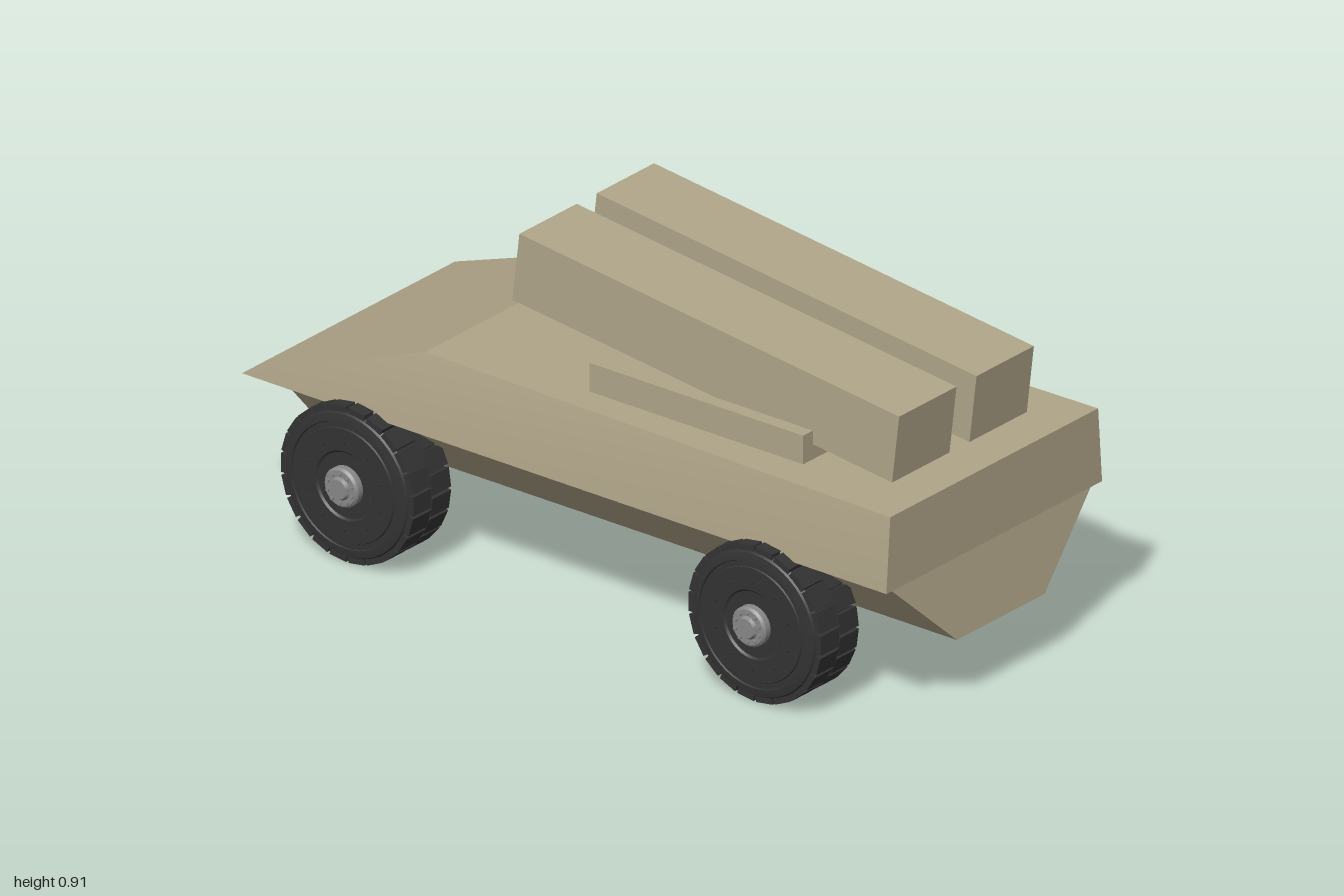
import * as THREE from 'three';
import { toCreasedNormals } from 'three/addons/utils/BufferGeometryUtils.js';

const material = (color) => new THREE.MeshStandardMaterial({ color });
const tan = material(0xb0a589);
const rubber = material(0x333333);
const steel = material(0x888888);

function add(parent, name, geometry, mat, x = 0, y = 0, z = 0) {
  const mesh = new THREE.Mesh(geometry, mat);
  mesh.name = name;
  mesh.position.set(x, y, z);
  parent.add(mesh);
  return mesh;
}

// Six-sided solid; each level gives y and [half width, z] at the front and the rear
function taperedBox(bottom, top) {
  const geometry = new THREE.BoxGeometry(1, 1, 1);
  const p = geometry.attributes.position;
  for (let i = 0; i < p.count; i++) {
    const level = p.getY(i) > 0 ? top : bottom;
    const [halfWidth, z] = p.getZ(i) > 0 ? level.front : level.rear;
    p.setXYZ(i, Math.sign(p.getX(i)) * halfWidth, level.y, z);
  }
  geometry.computeVertexNormals();
  return geometry;
}

// Turned part whose axis lies along x; points are [radius, x]
function turned(points, segments) {
  const profile = points.map(([r, x]) => new THREE.Vector2(r, x));
  const geometry = new THREE.LatheGeometry(profile, segments).rotateZ(-Math.PI / 2);
  return toCreasedNormals(geometry, 0.5);
}

// Wheel with its outer side towards +x
function createWheel() {
  const wheel = new THREE.Group();
  add(wheel, 'tyre', turned([
    [0, -0.068], [0.18, -0.068], [0.194, -0.06], [0.194, 0.062], [0.185, 0.076],
    [0.165, 0.08], [0.163, 0.076], [0.15, 0.076], [0.148, 0.08], [0.09, 0.08],
    [0.085, 0.075], [0, 0.075],
  ], 48), rubber);

  // Two staggered rows of tread blocks
  const count = 22;
  const block = new THREE.BoxGeometry(0.07, 0.016, 0.05);
  for (let i = 0; i < count; i++) {
    for (const row of [-1, 1]) {
      const angle = ((i + (row > 0 ? 0.5 : 0)) / count) * Math.PI * 2;
      const tread = add(wheel, 'treadBlock', block, rubber,
        row * 0.036, Math.cos(angle) * 0.195, Math.sin(angle) * 0.195);
      tread.rotation.x = angle;
    }
  }

  // Hub and its bolts
  add(wheel, 'hub', turned([
    [0, 0.06], [0.052, 0.06], [0.052, 0.092], [0.046, 0.098], [0.03, 0.098],
    [0.025, 0.107], [0, 0.107],
  ], 24), steel);
  const hubBolt = new THREE.CylinderGeometry(0.005, 0.005, 0.012, 6).rotateZ(-Math.PI / 2);
  const rimBolt = new THREE.CylinderGeometry(0.004, 0.004, 0.01, 6).rotateZ(-Math.PI / 2);
  for (let i = 0; i < 10; i++) {
    const a = (i / 10) * Math.PI * 2;
    add(wheel, 'hubBolt', hubBolt, steel, 0.098, Math.cos(a) * 0.038, Math.sin(a) * 0.038);
    add(wheel, 'rimBolt', rimBolt, rubber, 0.082, Math.cos(a) * 0.115, Math.sin(a) * 0.115);
  }
  return wheel;
}

export function createModel() {
  const model = new THREE.Group();
  model.name = 'armouredLauncher';

  // Hull
  add(model, 'upperHull', taperedBox(
    { y: 0.383, front: [0.41, 0.98], rear: [0.405, -1] },
    { y: 0.58, front: [0.395, 0.98], rear: [0.365, -0.47] },
  ), tan);
  add(model, 'lowerHull', taperedBox(
    { y: 0.18, front: [0.167, 1], rear: [0.167, -0.945] },
    { y: 0.383, front: [0.385, 0.97], rear: [0.385, -0.88] },
  ), tan);

  // Launcher base and its two tilted boxes
  add(model, 'launcherBase', new THREE.BoxGeometry(0.586, 0.077, 0.655), tan, 0, 0.617, 0.303);
  const launcherBox = new THREE.BoxGeometry(0.218, 0.181, 1.173);
  for (const side of [-1, 1]) {
    const launcher = add(model, side > 0 ? 'leftLauncher' : 'rightLauncher',
      launcherBox, tan, side * 0.147, 0.75, 0.302);
    launcher.rotation.x = 0.12;
  }

  // Wheels
  for (const side of [-1, 1]) {
    for (const [end, z] of [['Front', 0.6], ['Rear', -0.65]]) {
      const wheel = createWheel();
      wheel.name = (side > 0 ? 'left' : 'right') + end + 'Wheel';
      wheel.position.set(side * 0.368, 0.204, z);
      if (side < 0) wheel.rotation.y = Math.PI;
      model.add(wheel);
    }
  }
  return model;
}
